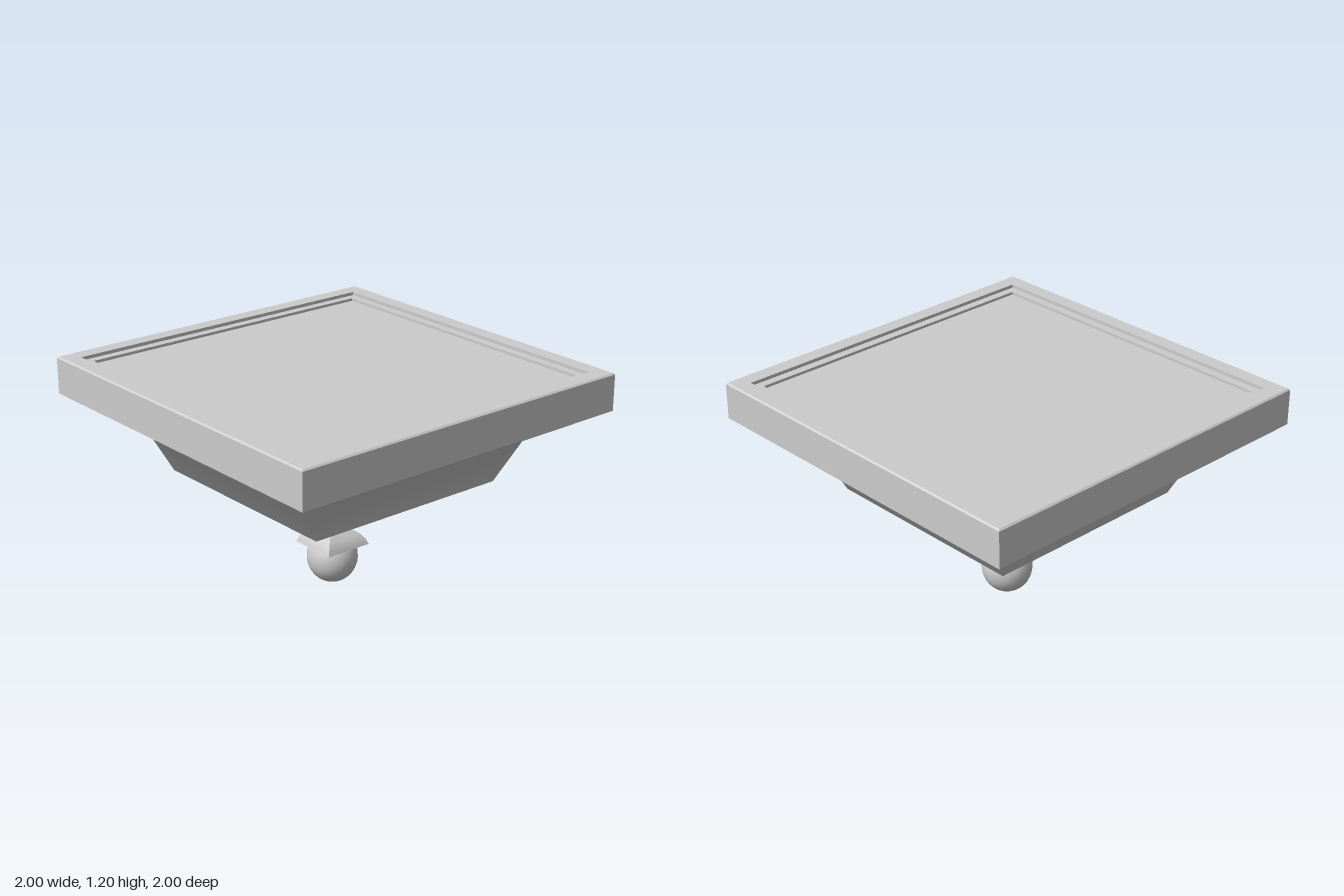
import * as THREE from 'three';
import { toCreasedNormals } from 'three/addons/utils/BufferGeometryUtils.js';

const material = new THREE.MeshStandardMaterial({ color: 0xcccccc });

// Square-section solid from a [half width, height] profile, listed bottom to top.
function squareTurned(name, profile, crease) {
  const points = profile.map(([w, y]) => new THREE.Vector2(w * Math.SQRT2, y));
  let geometry = new THREE.LatheGeometry(points, 4, Math.PI / 4);
  if (crease) geometry = toCreasedNormals(geometry, crease);
  const mesh = new THREE.Mesh(geometry, material);
  mesh.name = name;
  return mesh;
}

export function createModel() {
  const group = new THREE.Group();
  group.name = 'pendantBracket';

  // Top slab with a slightly eased edge and a twice-stepped recessed panel
  group.add(squareTurned('topSlab', [
    [1, 1], [1, 1.192], [0.992, 1.2], [0.91, 1.2], [0.91, 1.182],
    [0.865, 1.182], [0.865, 1.167], [0, 1.167],
  ], 0.5));

  // Tapering body under the slab, softly shaded around its corners
  group.add(squareTurned('body', [[0.585, 0.595], [0.685, 0.82], [1, 1]]));

  // Flat underside flowing into the flared neck
  group.add(squareTurned('neck', [
    [0.075, 0.295], [0.134, 0.378], [0.214, 0.508], [0.31, 0.595], [0.585, 0.595],
  ]));

  // Small bell-shaped collar above the ball
  group.add(squareTurned('collar', [
    [0, 0.215], [0.135, 0.215], [0.125, 0.243], [0.105, 0.27], [0.075, 0.295],
  ], 0.6));

  // Ball finial
  const ball = new THREE.Mesh(new THREE.SphereGeometry(0.135, 32, 24), material);
  ball.name = 'ballFinial';
  ball.scale.y = 1.05;
  ball.position.y = 0.142;
  group.add(ball);

  return group;
}
